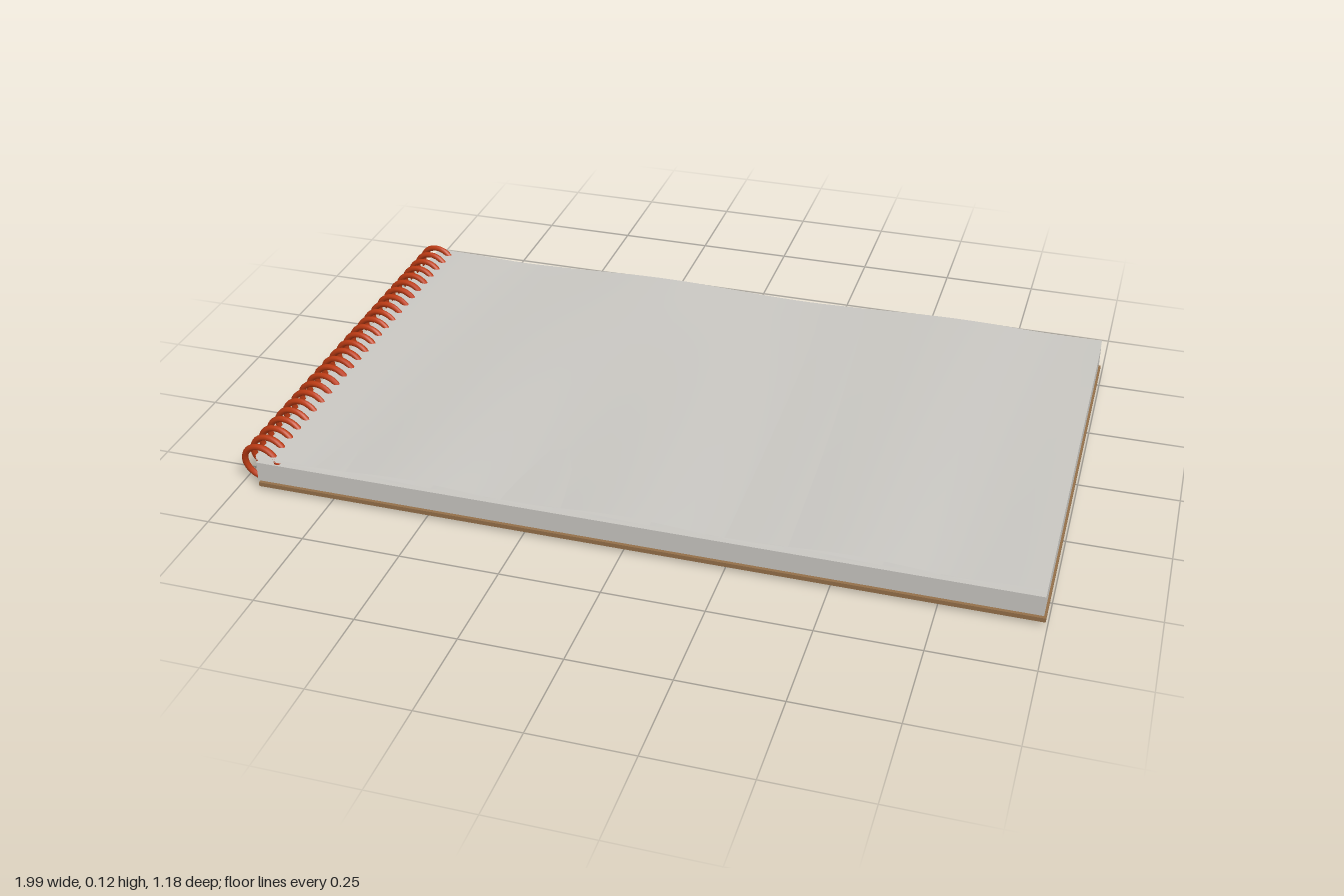
import * as THREE from 'three';

const material = (name, color, side = THREE.FrontSide) => {
  const m = new THREE.MeshStandardMaterial({ color, side });
  m.name = name;
  return m;
};

export function createModel() {
  const paper = material('paper', 0xcac8c3, THREE.DoubleSide);
  const board = material('cardboard', 0x94704a);
  const wire = material('red wire', 0xbe3c14);
  const model = new THREE.Group();
  model.name = 'notepad';

  const add = (name, geometry, mat, x = 0, y = 0, z = 0) => {
    const mesh = new THREE.Mesh(geometry, mat);
    mesh.name = name;
    mesh.position.set(x, y, z);
    model.add(mesh);
  };

  // Page block and backing board
  add('pageBlock', new THREE.BoxGeometry(1.935, 0.052, 1.16), paper, 0.0225, 0.056, 0.008);
  add('backBoard', new THREE.BoxGeometry(1.94, 0.011, 1.16), board, 0.025, 0.018, 0.008);

  // Loose top sheets, each gently rippled in its own way
  const ripple = (x, z, shift) => {
    const t = (z + 0.572) / 1.16;
    const back = Math.cos(7.4 * (x - 0.6 + shift));
    const front = Math.cos(11.4 * (x + shift));
    const fade = Math.min(1, (0.99 - x) * 4, (x + 0.945) * 4);
    return 0.006 * fade * (back * (1 - t) + front * t);
  };
  [[0.091, 0.4, 0.5], [0.096, 0.15, 0.7], [0.101, 0, 1]].forEach(([y, shift, amount], i) => {
    const sheet = new THREE.PlaneGeometry(1.935, 1.16, 48, 12).rotateX(-Math.PI / 2);
    sheet.translate(0.0225, 0, 0.008);
    const p = sheet.attributes.position;
    for (let k = 0; k < p.count; k++) p.setY(k, y + amount * ripple(p.getX(k), p.getZ(k), shift));
    sheet.computeVertexNormals();
    add('looseSheet' + (i + 1), sheet, paper);
  });

  // Spiral binding along the left edge of the page
  class Helix extends THREE.Curve {
    getPoint(t, target = new THREE.Vector3()) {
      const a = 0.4 + t * (26 * Math.PI * 2 - 0.8);
      return target.set(
        -0.94 + 0.052 * Math.cos(a),
        0.063 - 0.052 * Math.sin(a),
        -0.585 + 0.0448 * a / (Math.PI * 2)
      );
    }
  }
  const helix = new Helix();
  helix.arcLengthDivisions = 2000;
  add('spiralBinding', new THREE.TubeGeometry(helix, 26 * 28, 0.008, 8, false), wire);

  // Rounded wire ends
  [0, 1].forEach((t) => {
    const e = helix.getPoint(t);
    add('wireEnd', new THREE.SphereGeometry(0.008, 8, 6), wire, e.x, e.y, e.z);
  });
  return model;
}
